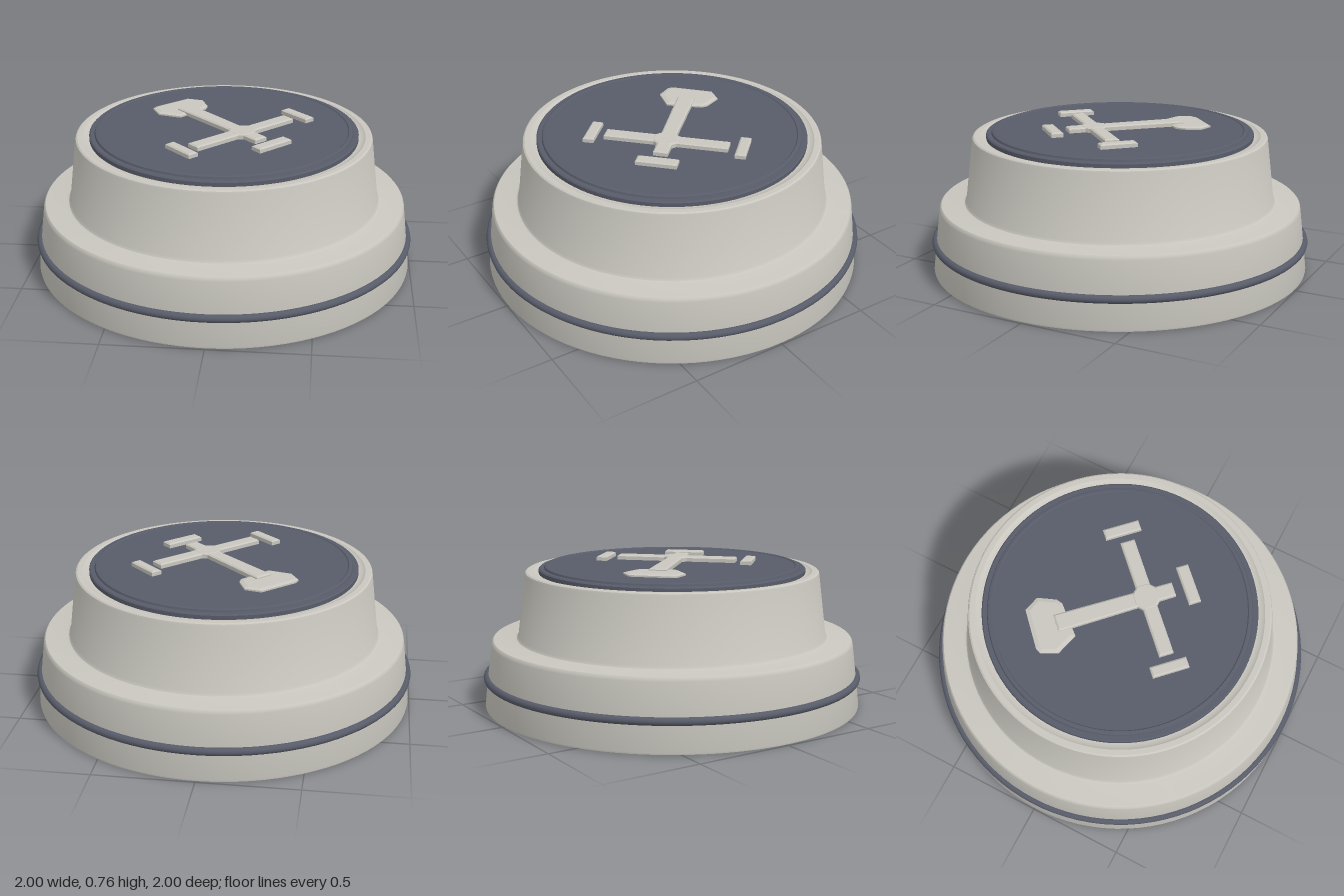
import * as THREE from 'three';
import { toCreasedNormals } from 'three/addons/utils/BufferGeometryUtils.js';

const SEGMENTS = 96;

export function createModel() {
  const model = new THREE.Group();
  model.name = 'roundCap';
  const paleGrey = new THREE.MeshStandardMaterial({ color: 0xc8c6be });
  paleGrey.name = 'paleGrey';
  const slate = new THREE.MeshStandardMaterial({ color: 0x585c69 });
  slate.name = 'slate';

  const add = (name, geometry, material, parent = model) => {
    const mesh = new THREE.Mesh(geometry, material);
    mesh.name = name;
    parent.add(mesh);
    return mesh;
  };
  const lathe = (profile) => toCreasedNormals(
    new THREE.LatheGeometry(profile.map(([r, y]) => new THREE.Vector2(r, y)), SEGMENTS), 0.5);

  // Hollow stepped body: recess ceiling, recess wall, foot, skirt, ledge, upper wall, rim
  add('body', lathe([
    [0, 0.39], [0.795, 0.39], [0.805, 0], [0.985, 0], [0.993, 0.003], [0.995, 0.012],
    [0.955, 0.335], [0.952, 0.348], [0.945, 0.356], [0.935, 0.358],
    [0.835, 0.358], [0.822, 0.362], [0.813, 0.375],
    [0.773, 0.697], [0.77, 0.706], [0.762, 0.711],
    [0.735, 0.711], [0.725, 0.704], [0.705, 0.7], [0, 0.7],
  ]), paleGrey);

  // Band around the skirt
  const band = new THREE.TorusGeometry(0.98, 0.02, 12, SEGMENTS);
  band.rotateX(Math.PI / 2);
  add('skirtBand', band, slate).position.y = 0.157;

  // Inset top plate with a raised lip and shallow step
  add('topPlate', lathe([
    [0.7, 0.7], [0.7, 0.72], [0.694, 0.726], [0.672, 0.726], [0.668, 0.736],
    [0.66, 0.739], [0.65, 0.739], [0.645, 0.734], [0, 0.734],
  ]), slate);

  // Raised emblem, each piece a bevelled plate drawn in x, z
  const emblem = new THREE.Group();
  emblem.name = 'emblem';
  model.add(emblem);
  const plate = (name, outline, top, bevel = 0.008) => {
    const shape = new THREE.Shape(outline.map(([x, z]) => new THREE.Vector2(x, -z)));
    const base = 0.728;
    const geometry = new THREE.ExtrudeGeometry(shape, {
      depth: top - base - 0.006, bevelEnabled: true, bevelThickness: 0.006,
      bevelSize: bevel, bevelOffset: -bevel, bevelSegments: 1,
    });
    geometry.rotateX(-Math.PI / 2);
    add(name, geometry, paleGrey, emblem).position.y = base;
  };
  // Bar between two points, with a width at each end
  const bar = (name, [x1, z1], [x2, z2], w1, w2 = w1, top = 0.759) => {
    const length = Math.hypot(x2 - x1, z2 - z1);
    const nx = -(z2 - z1) / length / 2, nz = (x2 - x1) / length / 2;
    plate(name, [
      [x1 + nx * w1, z1 + nz * w1], [x2 + nx * w2, z2 + nz * w2],
      [x2 - nx * w2, z2 - nz * w2], [x1 - nx * w1, z1 - nz * w1],
    ], top);
  };

  plate('emblemHead', [
    [-0.24, -0.412], [-0.155, -0.392], [-0.118, -0.3], [-0.123, -0.265],
    [-0.245, -0.123], [-0.365, -0.155], [-0.407, -0.235], [-0.395, -0.265],
  ], 0.748, 0.02);
  bar('emblemShaft', [-0.235, -0.24], [0.205, 0.2], 0.092, 0.075);
  bar('emblemCrossbar', [0.33, -0.13], [-0.125, 0.325], 0.075);
  // Octagonal boss where the bars cross
  plate('emblemBoss', Array.from({ length: 8 }, (_, i) => {
    const a = (i + 0.5) * Math.PI / 4;
    return [0.102 + 0.074 * Math.cos(a), 0.097 + 0.074 * Math.sin(a)];
  }), 0.761);
  // Separate end blocks
  const block = (name, x, z, dx, dz, length, width) => {
    const h = length / 2 * Math.SQRT1_2;
    bar(name, [x - dx * h, z - dz * h], [x + dx * h, z + dz * h], width);
  };
  block('emblemBlockRight', 0.375, -0.184, 1, 1, 0.19, 0.056);
  block('emblemBlockLeft', -0.177, 0.368, 1, 1, 0.19, 0.056);
  block('emblemBlockEnd', 0.263, 0.254, 1, -1, 0.21, 0.063);

  return model;
}
